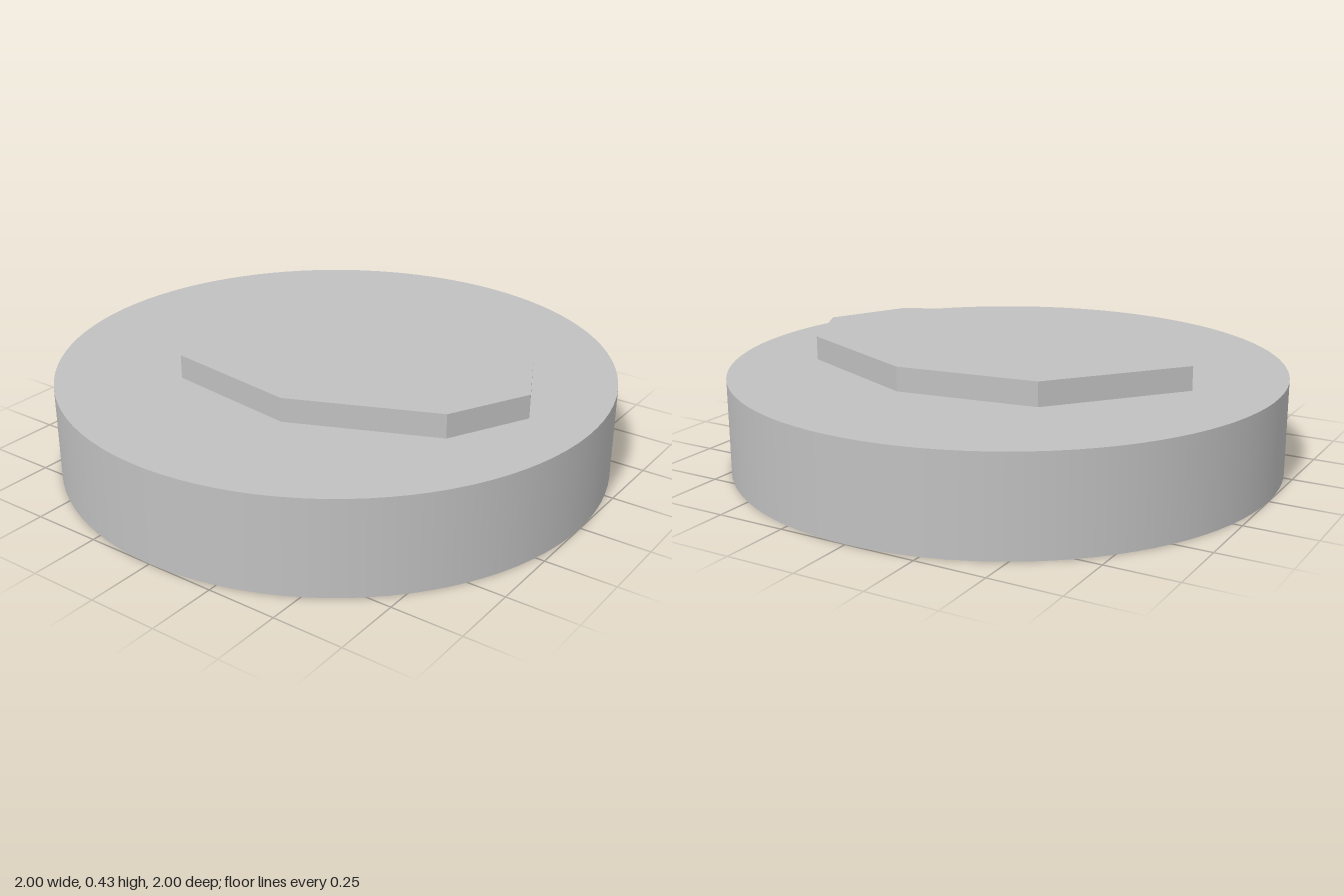
import * as THREE from 'three';

const BASE_HEIGHT = 0.343;
const PLATE_HEIGHT = 0.086;

export function createModel() {
  const model = new THREE.Group();
  model.name = 'discWithRaisedPlate';
  const grey = new THREE.MeshStandardMaterial({ color: 0xc0c0c0 });
  grey.name = 'light grey';

  // Round base disc
  const base = new THREE.Mesh(new THREE.CylinderGeometry(1, 1, BASE_HEIGHT, 96), grey);
  base.name = 'baseDisc';
  base.position.y = BASE_HEIGHT / 2;
  model.add(base);

  // Raised faceted plate: right half outline from back to front, mirrored (x, z)
  const half = [[0, -0.714], [0.429, -0.357], [0.5, 0.143], [0.286, 0.643], [0, 0.786]];
  const mirrored = half.slice(1, -1).reverse().map(([x, z]) => [-x, z]);
  const outline = [...half, ...mirrored].map(([x, z]) => new THREE.Vector2(x, -z));
  const plateGeometry = new THREE.ExtrudeGeometry(new THREE.Shape(outline), {
    depth: PLATE_HEIGHT,
    bevelEnabled: false,
  });
  plateGeometry.rotateX(-Math.PI / 2);
  const plate = new THREE.Mesh(plateGeometry, grey);
  plate.name = 'raisedPlate';
  plate.position.y = BASE_HEIGHT;
  model.add(plate);

  return model;
}
